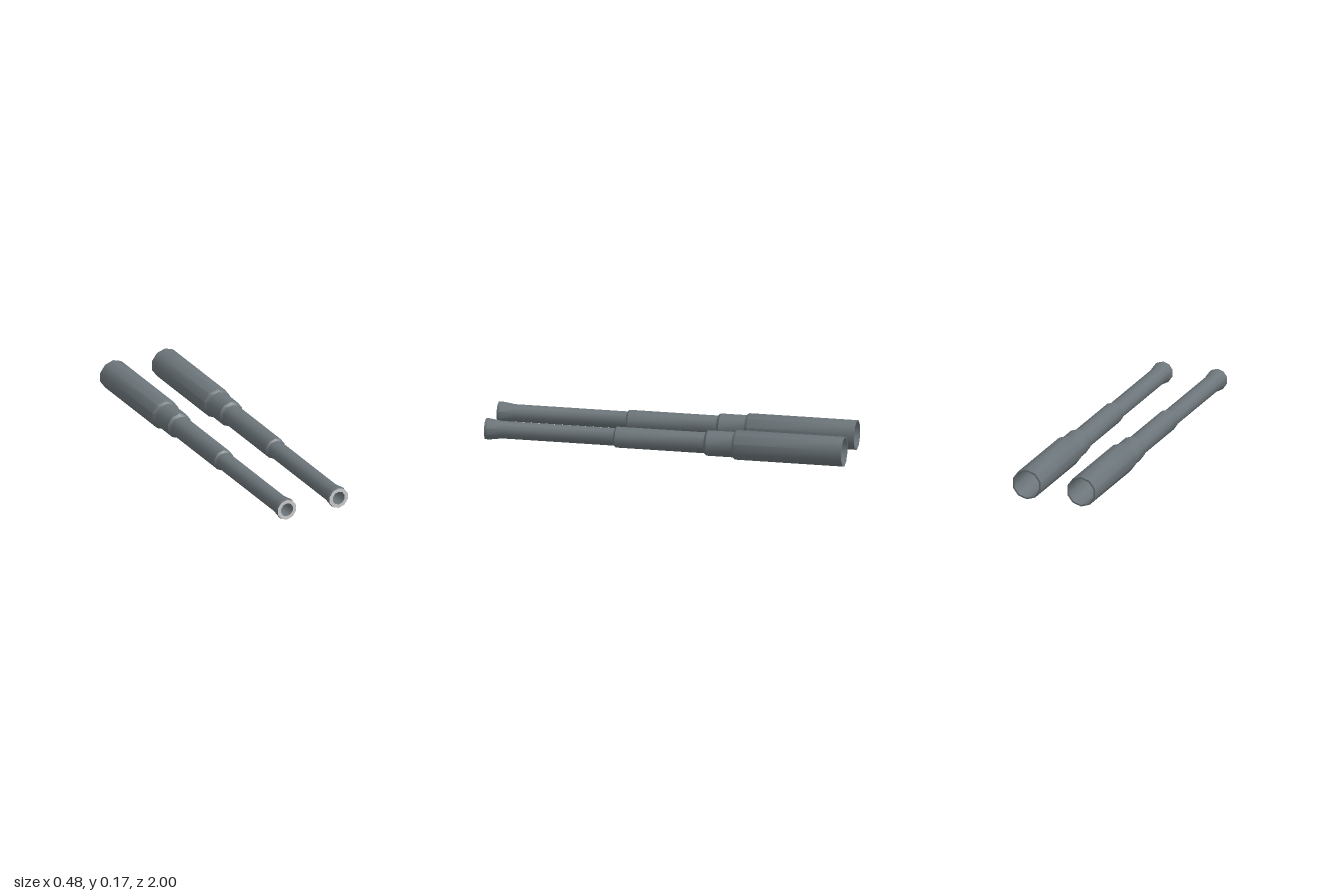
import * as THREE from 'three';
import { toCreasedNormals } from 'three/addons/utils/BufferGeometryUtils.js';

const SIDES = 10;
const steel = new THREE.MeshStandardMaterial({ color: 0x6c757a });
const grey = new THREE.MeshStandardMaterial({ color: 0xcccccc });

// Ten-sided lathe along z; each profile point is [radius, z]
function turned(name, profile, material) {
  const points = profile.map(([r, z]) => new THREE.Vector2(r, z));
  const geometry = new THREE.LatheGeometry(points, SIDES).rotateX(Math.PI / 2);
  const mesh = new THREE.Mesh(toCreasedNormals(geometry, 0.68), material);
  mesh.name = name;
  return mesh;
}

function createBarrel(name, x) {
  const barrel = new THREE.Group();
  barrel.name = name;
  barrel.add(
    // Hollow rear end
    turned('rearSocket', [[0, -0.4], [0.07, -0.42], [0.076, -1], [0.085, -1]], steel),
    // Stepped sleeves, each with a small bevel at its front edge
    turned('rearSleeve', [[0.085, -1], [0.085, -0.4], [0.073, -0.385]], steel),
    turned('middleSleeve', [[0.073, -0.385], [0.073, -0.24], [0.06, -0.225]], steel),
    turned('frontSleeve', [[0.06, -0.225], [0.06, 0.27], [0.05, 0.28]], steel),
    // Slim tube with a flared muzzle
    turned('tube', [[0.05, 0.28], [0.05, 0.91], [0.061, 0.985], [0.059, 1]], steel),
    turned('muzzleRing', [[0.059, 1], [0.038, 1]], grey),
    turned('bore', [[0.038, 1], [0.036, 0.9], [0, 0.82]], steel),
  );
  barrel.position.set(x, 0.086, 0);
  return barrel;
}

export function createModel() {
  const model = new THREE.Group();
  model.name = 'twinBarrels';
  model.add(createBarrel('leftBarrel', 0.16), createBarrel('rightBarrel', -0.16));
  return model;
}
